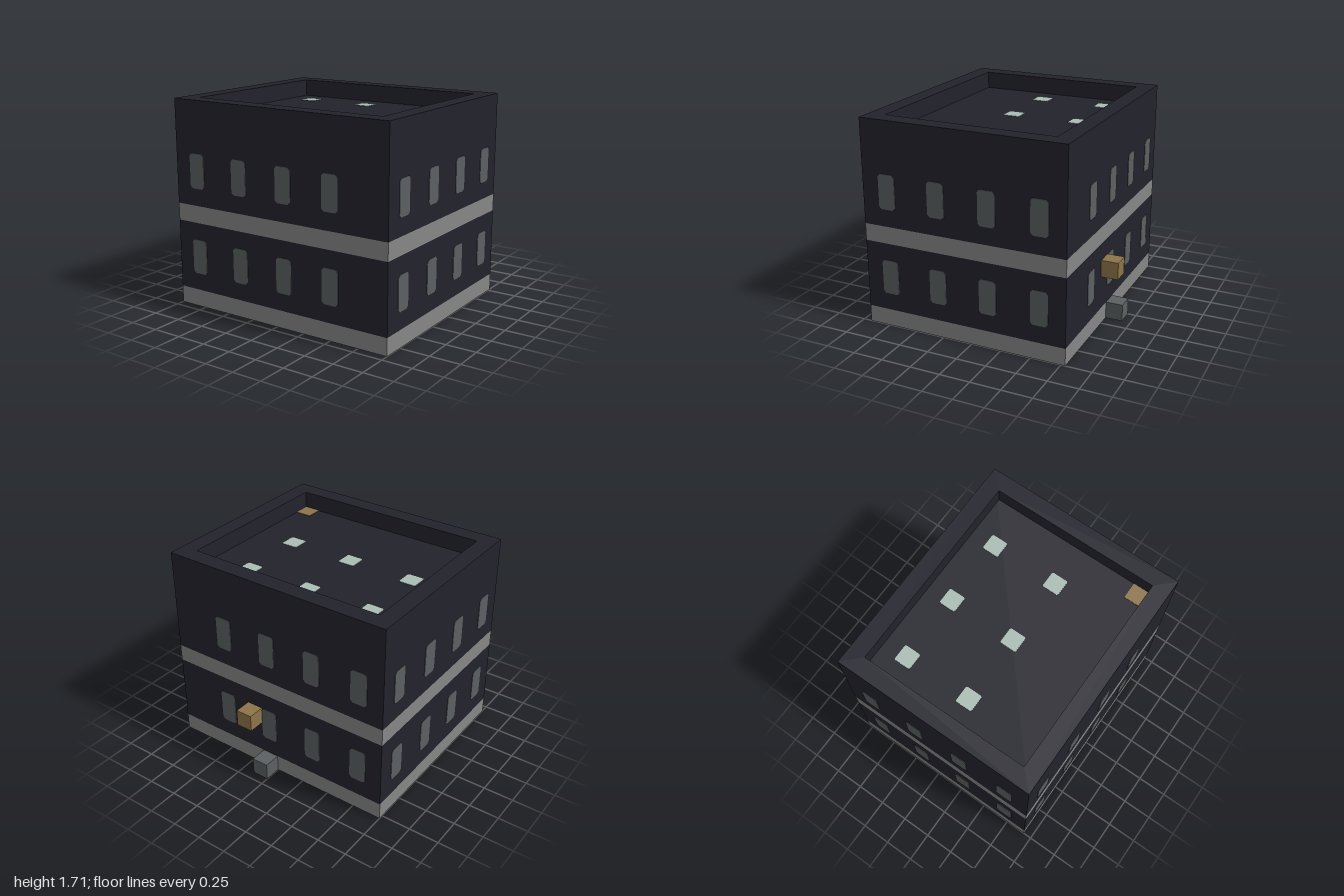
import * as THREE from 'three';

const U = 1 / 7; // one block
const SKIN = 0.004; // thickness of painted details

const mat = (name, color) => {
  const m = new THREE.MeshStandardMaterial({ color });
  m.name = name;
  return m;
};

export function createModel() {
  const wall = mat('dark wall', 0x22222c);
  const stone = mat('grey stone', 0x868686);
  const glass = mat('window grey', 0x5c6062);
  const sky = mat('pale skylight', 0xaabdb5);
  const brass = mat('brass', 0x8d744a);

  const model = new THREE.Group();
  model.name = 'building';

  const add = (name, geometry, material, parent = model) => {
    const mesh = new THREE.Mesh(geometry, material);
    mesh.name = name;
    parent.add(mesh);
    return mesh;
  };

  // Box from its lower corner and size, both in blocks
  const block = (name, material, [x, y, z], [w, h, d]) =>
    add(name, new THREE.BoxGeometry(w * U, h * U, d * U), material)
      .position.set((x + w / 2) * U, (y + h / 2) * U, (z + d / 2) * U);

  // Thin centred plate with clipped corners, facing +z
  const plate = (w, h, c) => {
    const x = w / 2, y = h / 2;
    const pts = [[-x + c, -y], [x - c, -y], [x, -y + c], [x, y - c],
      [x - c, y], [-x + c, y], [-x, y - c], [-x, -y + c]];
    const shape = new THREE.Shape(pts.map(p => new THREE.Vector2(...p)));
    return new THREE.ExtrudeGeometry(shape, { depth: SKIN, bevelEnabled: false });
  };

  // Stacked storeys: stone band, then dark wall
  const x0 = -7, z0 = -5.5, W = 14, D = 12;
  block('baseBand', stone, [x0, 0, z0], [W, 1, D]);
  block('lowerWall', wall, [x0, 1, z0], [W, 4, D]);
  block('middleBand', stone, [x0, 5, z0], [W, 1, D]);
  block('upperWall', wall, [x0, 6, z0], [W, 5, D]);

  // Parapet around the sunken roof
  const rect = (P, x, y, w, h) => new P([[x, y], [x + w, y], [x + w, y + h], [x, y + h]]
    .map(([a, b]) => new THREE.Vector2(a * U, b * U)));
  const ring = rect(THREE.Shape, x0, -z0 - D, W, D);
  ring.holes.push(rect(THREE.Path, x0 + 1, -z0 - D + 1, W - 2, D - 2));
  const parapet = add('parapet', new THREE.ExtrudeGeometry(ring, { depth: U, bevelEnabled: false }), wall);
  parapet.rotation.x = -Math.PI / 2;
  parapet.position.y = 11 * U;

  // Two rows of four windows on every side
  const windows = new THREE.Group();
  windows.name = 'windows';
  model.add(windows);
  const pane = plate(U, 2 * U, 0.02);
  for (const y of [3, 8]) {
    for (let i = 0; i < 4; i++) {
      const x = -5.5 + 3 * i, z = -4 + 3 * i;
      for (const [name, px, pz, turn] of [
        ['frontWindow', x, z0 + D, 0], ['backWindow', x, z0, Math.PI],
        ['leftWindow', 7, z, Math.PI / 2], ['rightWindow', -7, z, -Math.PI / 2]]) {
        const w = add(name, pane, glass, windows);
        w.position.set(px * U, y * U, pz * U);
        w.rotation.y = turn;
      }
    }
  }

  // Roof skylights and corner hatch
  const roofTile = (name, geometry, material, x, z) => {
    const t = add(name, geometry, material);
    t.rotation.x = -Math.PI / 2;
    t.position.set(x * U, 11 * U, z * U);
  };
  const light = plate(U, U, 0.01);
  for (const x of [-4.5, -0.5, 3.5])
    for (const z of [-3, 1]) roofTile('skylight', light, sky, x, z);
  roofTile('roofHatch', plate(U, U, 0), brass, 5.5, 5);

  // Step and lamp at the back
  block('backStep', glass, [0, 0, z0 - 1], [1, 1, 1]);
  block('backLamp', brass, [1, 3, z0 - 1], [1, 1, 1]);

  return model;
}
